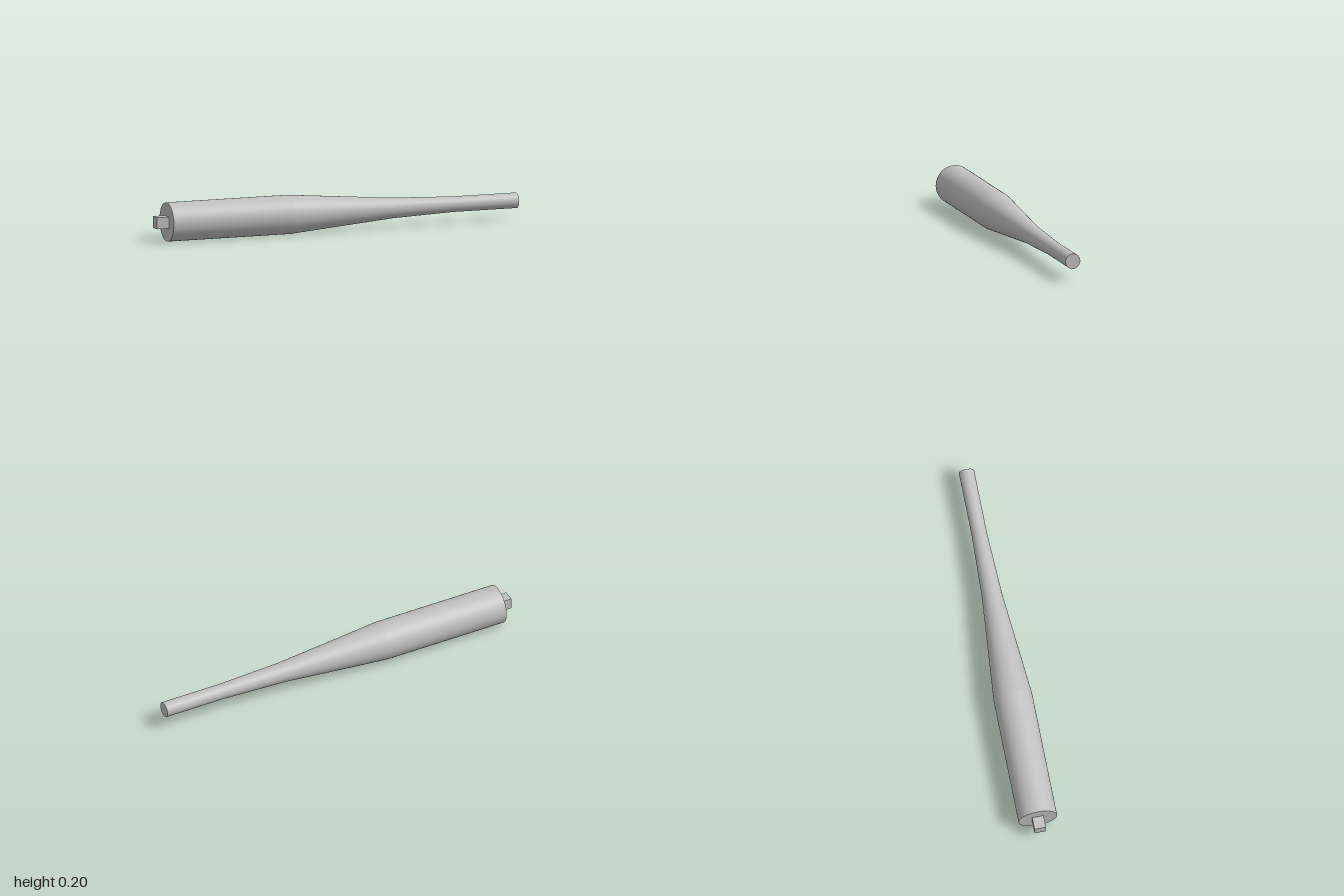
import * as THREE from 'three';

const AXIS_Y = 0.101;
const SIDES = 64;

// Stations along the shaft: [x, radius]
const STATIONS = [
  [-0.935, 0.101],
  [-0.26, 0.101],
  [0.31, 0.053],
  [0.65, 0.04],
  [1.0, 0.04],
];
const NAMES = ['barrel', 'shoulderTaper', 'neckTaper', 'tip'];

export function createModel() {
  const group = new THREE.Group();
  const steel = new THREE.MeshStandardMaterial({ color: 0xc0c0c0 });
  steel.name = 'steel grey';

  const add = (name, geometry, x) => {
    const mesh = new THREE.Mesh(geometry, steel);
    mesh.name = name;
    mesh.position.set(x, AXIS_Y, 0);
    group.add(mesh);
  };

  // Round shaft sections, with a crisp edge at each change of slope
  NAMES.forEach((name, i) => {
    const [x0, r0] = STATIONS[i];
    const [x1, r1] = STATIONS[i + 1];
    const section = new THREE.CylinderGeometry(r1, r0, x1 - x0, SIDES, 1, true);
    add(name, section.rotateZ(-Math.PI / 2), (x0 + x1) / 2);
  });

  // Flat end faces
  const [startX, startR] = STATIONS[0];
  const [endX, endR] = STATIONS[STATIONS.length - 1];
  add('barrelEnd', new THREE.CircleGeometry(startR, SIDES).rotateY(-Math.PI / 2), startX);
  add('tipEnd', new THREE.CircleGeometry(endR, SIDES).rotateY(Math.PI / 2), endX);

  // Square drive tang
  add('squareTang', new THREE.BoxGeometry(startX + 1, 0.06, 0.06), (startX - 1) / 2);

  return group;
}
